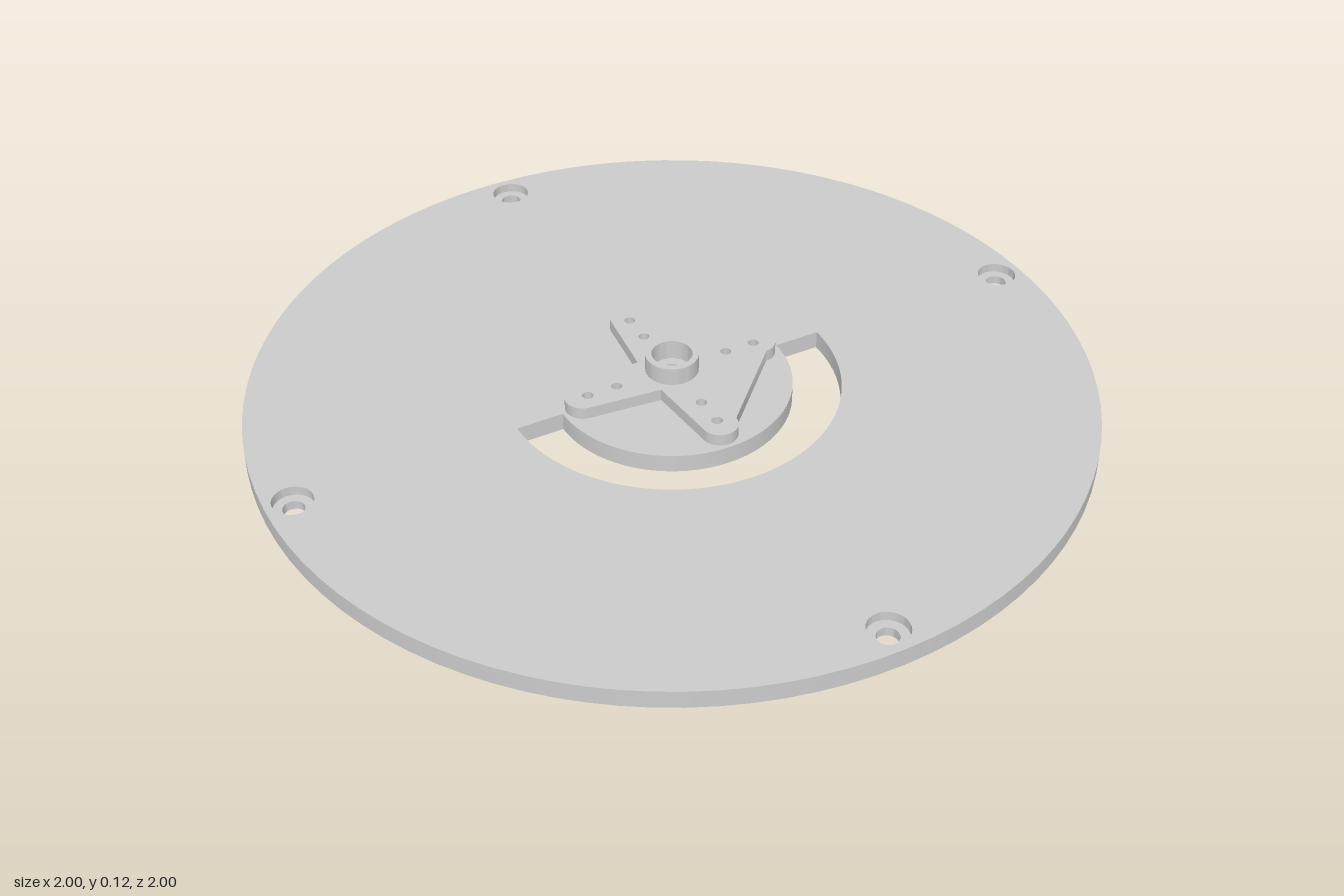
import * as THREE from 'three';
import { toCreasedNormals } from 'three/addons/utils/BufferGeometryUtils.js';

const T = 0.045, MID = 0.022;          // plate thickness, counterbore step
const RIM_HOLE = 0.935, SCREW = 0.145; // hole circle radii
const SLOT_IN = 0.285, SLOT_OUT = 0.4;
const DIRS = [[1, 0], [0, 1], [-1, 0], [0, -1]];
const material = new THREE.MeshStandardMaterial({ color: 0xcccccc });

function add(parent, name, geometry, x = 0, y = 0, z = 0) {
  const mesh = new THREE.Mesh(geometry, material);
  mesh.name = name;
  mesh.position.set(x, y, z);
  parent.add(mesh);
  return mesh;
}

// Turned surface with crisp edges; a rising profile faces outward, a falling one inward
function turned(profile, segments = 32, start = 0, length = Math.PI * 2) {
  const pts = profile.map(([r, y]) => new THREE.Vector2(r, y));
  return toCreasedNormals(new THREE.LatheGeometry(pts, segments, start, length), 0.6);
}

function circle(x, y, r) {
  const p = new THREE.Path();
  p.absarc(x, y, r, 0, Math.PI * 2, true);
  return p;
}

// Plate face with all its openings; side = 1 for top, -1 for bottom
function plateFace(side, rimR, screwR, centreR) {
  const s = new THREE.Shape();
  s.absarc(0, 0, 1, 0, Math.PI * 2, false);
  for (const [x, y] of DIRS) {
    s.holes.push(circle(x * RIM_HOLE, y * RIM_HOLE, rimR), circle(x * SCREW, y * SCREW, screwR));
  }
  s.holes.push(circle(0, 0, centreR));
  const slot = new THREE.Path();
  const end = -side * Math.PI;
  slot.absarc(0, 0, SLOT_OUT, 0, end, side > 0);
  slot.absarc(0, 0, SLOT_IN, end, 0, side < 0);
  slot.closePath();
  s.holes.push(slot);
  return new THREE.ShapeGeometry(s, 48).rotateX(-side * Math.PI / 2);
}

// Four-armed horn outline with rounded tips
function hornGeometry() {
  const s = new THREE.Shape();
  const tip = 0.232, tipR = 0.043, base = 0.06;
  DIRS.forEach(([c, d], i) => {
    const a = i * Math.PI / 2;
    const x = base * (c + d), y = base * (d - c);
    if (i === 0) s.moveTo(x, y); else s.lineTo(x, y);
    s.absarc(c * tip, d * tip, tipR, a - Math.PI / 2, a + Math.PI / 2, false);
    for (const r of [SCREW, 0.22]) s.holes.push(circle(c * r, d * r, 0.013));
  });
  s.closePath();
  s.holes.push(circle(0, 0, 0.055));
  const g = new THREE.ExtrudeGeometry(s, { depth: 0.03, bevelEnabled: false, curveSegments: 12 });
  return toCreasedNormals(g.rotateX(-Math.PI / 2), 0.6);
}

export function createModel() {
  const model = new THREE.Group();
  model.name = 'hornDisc';

  // Round plate
  const plate = new THREE.Group();
  plate.name = 'plate';
  model.add(plate);
  add(plate, 'plateTop', plateFace(1, 0.047, 0.016, 0.043), 0, T, 0);
  add(plate, 'plateBottom', plateFace(-1, 0.025, 0.043, 0.065));
  add(plate, 'plateRim', turned([[1, 0], [1, T]], 96));

  // Half-ring slot walls
  const half = [96, -Math.PI / 2, Math.PI];
  add(plate, 'slotOuterWall', turned([[SLOT_OUT, T], [SLOT_OUT, 0]], ...half));
  add(plate, 'slotInnerWall', turned([[SLOT_IN, 0], [SLOT_IN, T]], ...half));
  for (const side of [-1, 1]) {
    add(plate, 'slotEnd', new THREE.PlaneGeometry(SLOT_OUT - SLOT_IN, T),
      side * (SLOT_OUT + SLOT_IN) / 2, T / 2, 0);
  }

  // Counterbores: rim holes open upward, screw and centre holes open downward
  const rimBore = turned([[0.047, T], [0.047, MID], [0.025, MID], [0.025, 0]], 96);
  const screwBore = turned([[0.016, T], [0.016, MID], [0.043, MID], [0.043, 0]], 96);
  for (const [x, z] of DIRS) {
    add(plate, 'rimHole', rimBore, x * RIM_HOLE, 0, z * RIM_HOLE);
    add(plate, 'screwHole', screwBore, x * SCREW, 0, z * SCREW);
  }
  add(plate, 'centreHole', turned([[0.043, T], [0.043, MID], [0.065, MID], [0.065, 0]], 96));

  // Cross-shaped horn and its hollow hub
  add(model, 'horn', hornGeometry(), 0, T, 0);
  add(model, 'hub', turned([
    [0.025, T], [0.063, T], [0.063, 0.12], [0.048, 0.12], [0.048, 0.07], [0.025, 0.07], [0.025, T],
  ], 48));

  return model;
}
